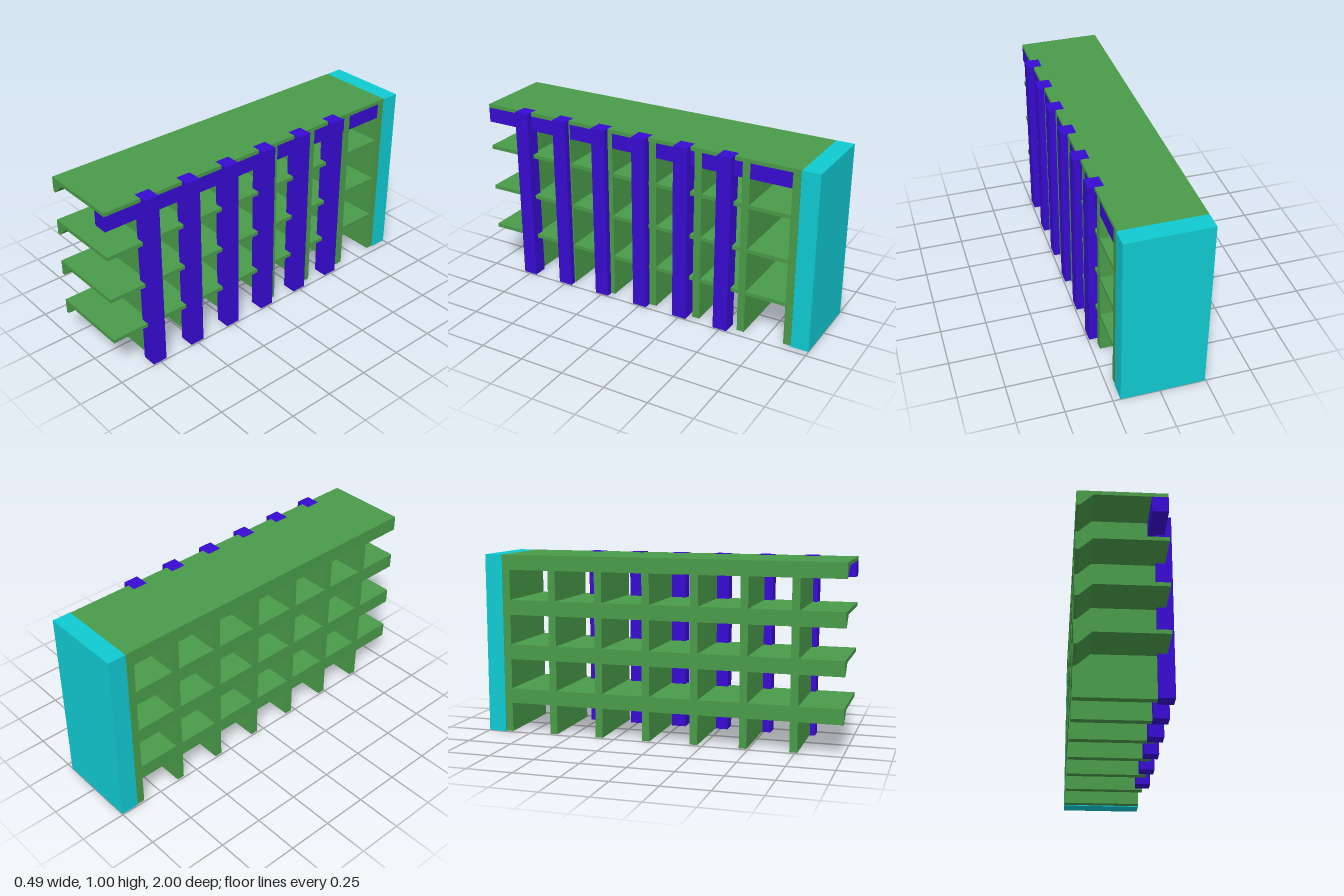
import * as THREE from 'three';

export function createModel() {
  const model = new THREE.Group();
  model.name = 'shelfBlock';

  const material = (name, color) => {
    const m = new THREE.MeshStandardMaterial({ color });
    m.name = name;
    return m;
  };
  const green = material('green', 0x499a49);
  const purple = material('purple', 0x370bd0);
  const cyan = material('cyan', 0x10cad2);

  // Box given by its minimum and maximum corners
  const box = (name, mat, [x0, y0, z0], [x1, y1, z1]) => {
    const mesh = new THREE.Mesh(new THREE.BoxGeometry(x1 - x0, y1 - y0, z1 - z0), mat);
    mesh.position.set((x0 + x1) / 2, (y0 + y1) / 2, (z0 + z1) / 2);
    mesh.name = name;
    model.add(mesh);
  };

  // Floor slabs with a haunched edge beam along the -x side
  const slabProfile = new THREE.Shape([
    [-0.245, 0], [-0.245, -0.083], [-0.228, -0.083],
    [-0.16, -0.021], [0.207, -0.021], [0.207, 0],
  ].map(([x, y]) => new THREE.Vector2(x, y)));
  const slabGeometry = new THREE.ExtrudeGeometry(slabProfile, { depth: 1.9, bevelEnabled: false });
  for (let i = 1; i <= 4; i++) {
    const slab = new THREE.Mesh(slabGeometry, green);
    slab.name = `slab${i}`;
    slab.position.set(0, i * 0.25, -0.9);
    model.add(slab);
  }

  // Cross walls
  for (let i = 0; i < 7; i++) {
    const z = -0.877 + i * 0.27;
    box(`crossWall${i + 1}`, green, [-0.244, 0.004, z - 0.021], [0.208, 0.99, z + 0.021]);
  }

  // Beam under the top slab
  box('topBeam', purple, [0.125, 0.895, -0.88], [0.207, 0.979, 1]);

  // Posts along the +x side
  for (let i = 0; i < 6; i++) {
    const z = -0.5 + i * 0.25;
    box(`post${i + 1}`, purple, [0.161, 0, z - 0.041], [0.243, 1.001, z + 0.041]);
  }

  // Solid end wall at the back
  box('endWall', cyan, [-0.245, 0, -1], [0.21, 1, -0.9]);

  return model;
}
